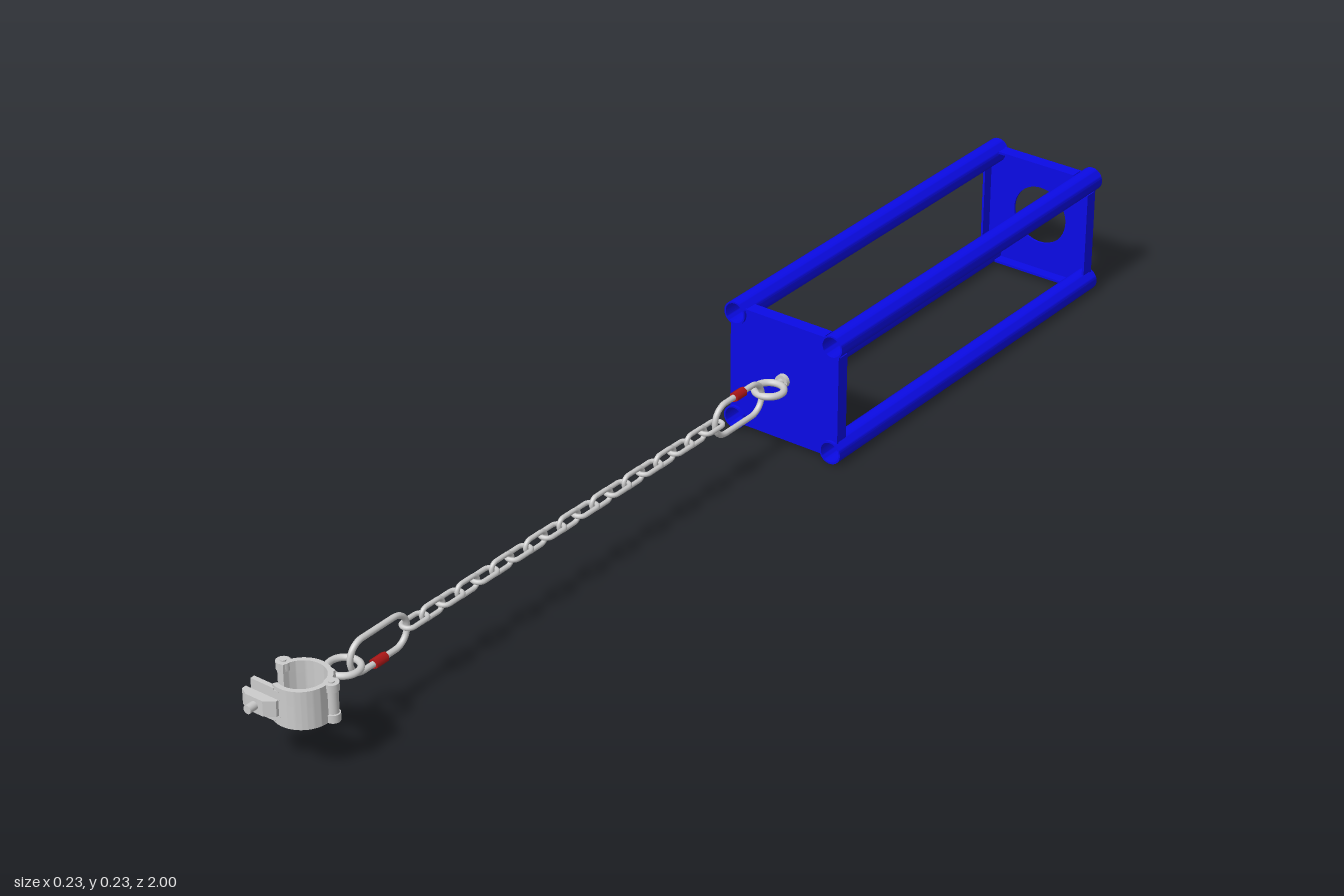
import * as THREE from 'three';
import { toCreasedNormals } from 'three/addons/utils/BufferGeometryUtils.js';

const CY = 0.117; // height of the long axis
const grey = new THREE.MeshStandardMaterial({ color: 0xcccccc });
const blue = new THREE.MeshStandardMaterial({ color: 0x0a0ae6 });
const red = new THREE.MeshStandardMaterial({ color: 0xb01818 });

// Closed oval path in the x-y plane, long along x
class Oval extends THREE.Curve {
  constructor(half, r) { super(); this.a = half; this.r = r; }
  getPoint(t, target = new THREE.Vector3()) {
    const { a, r } = this, arc = Math.PI * r, total = 4 * a + 2 * arc;
    let s = (t % 1) * total;
    const sign = s < total / 2 ? 1 : -1;
    if (sign < 0) s -= total / 2;
    if (s < 2 * a) return target.set(sign * (s - a), -sign * r, 0);
    const w = (s - 2 * a) / r - Math.PI / 2;
    return target.set(sign * (a + r * Math.cos(w)), sign * r * Math.sin(w), 0);
  }
}

function add(parent, name, geometry, material, x = 0, y = 0, z = 0) {
  const mesh = new THREE.Mesh(geometry, material);
  mesh.name = name;
  mesh.position.set(x, y, z);
  parent.add(mesh);
  return mesh;
}

function extrude(shape, depth, curveSegments = 24) {
  const g = new THREE.ExtrudeGeometry(shape, { depth, curveSegments, bevelEnabled: false });
  return toCreasedNormals(g, 0.6);
}

// Shape drawn in x-z, extruded along y and centred on y = 0
function upright(shape, height) {
  return extrude(shape, height).rotateX(Math.PI / 2).translate(0, height / 2, 0);
}

const rodZ = (r, length, sides = 20) => new THREE.CylinderGeometry(r, r, length, sides).rotateX(Math.PI / 2);

// Oval wire link, long along z, standing in the y-z plane
function linkGeometry(length, width, wire, steps) {
  const r = width / 2 - wire;
  return new THREE.TubeGeometry(new Oval(length / 2 - wire - r, r), steps, wire, 10, true).rotateY(Math.PI / 2);
}

// Folded end plate, its flanges pointing along dir
function endPlate(name, z, dir, holeRadius) {
  const group = new THREE.Group();
  group.name = name;
  group.position.set(0, CY, z);
  const h = 0.1075, c = 0.0965, r = 0.0203, t = 0.004, depth = 0.024;
  const d = h - c, e = Math.sqrt(r * r - d * d);
  const shape = new THREE.Shape();
  for (let k = 0; k < 4; k++) {
    const q = k * Math.PI / 2, m = q + Math.PI / 4, R = c * Math.SQRT2;
    shape.absarc(R * Math.cos(m), R * Math.sin(m), r, q + Math.atan2(-e, d), q + Math.atan2(d, -e), true);
  }
  shape.closePath();
  if (holeRadius) {
    const hole = new THREE.Path();
    hole.absarc(0, 0, holeRadius, 0, Math.PI * 2, true);
    shape.holes.push(hole);
  }
  add(group, 'plate', extrude(shape, t), blue, 0, 0, dir > 0 ? 0 : -t);
  for (let k = 0; k < 4; k++) {
    const g = new THREE.BoxGeometry(0.154, t, depth).translate(0, h - t / 2, dir * depth / 2);
    add(group, 'flange', g.rotateZ(k * Math.PI / 2), blue);
  }
  return group;
}

// Oval connector with a threaded sleeve on one long side
function quickLink(name, z, side) {
  const group = new THREE.Group();
  group.name = name;
  group.position.set(0, CY + 0.003, z);
  add(group, 'wire', linkGeometry(0.135, 0.066, 0.005, 80), grey);
  add(group, 'sleeve', rodZ(0.0085, 0.026, 6), red, 0, side * 0.028, 0);
  return group;
}

function frame() {
  const group = new THREE.Group();
  group.name = 'frame';
  const ring = new THREE.Shape().absarc(0, 0, 0.0205, 0, Math.PI * 2);
  ring.holes.push(new THREE.Path().absarc(0, 0, 0.0175, 0, Math.PI * 2, true));
  const tube = extrude(ring, 0.77);
  for (const sx of [-1, 1]) for (const sy of [-1, 1])
    add(group, 'cornerTube', tube, blue, sx * 0.0965, CY + sy * 0.0965, -1);
  group.add(endPlate('frontPlate', -0.235, -1, 0));
  group.add(endPlate('backPlate', -0.995, 1, 0.053));
  return group;
}

function eyeBolt() {
  const group = new THREE.Group();
  group.name = 'eyeBolt';
  group.position.y = CY + 0.003;
  const eye = new THREE.TorusGeometry(0.024, 0.006, 12, 36).rotateX(Math.PI / 2);
  add(group, 'eye', eye, grey, 0, 0, -0.195);
  add(group, 'shank', rodZ(0.006, 0.06), grey, 0, 0, -0.25);
  add(group, 'collar', rodZ(0.012, 0.008), grey, 0, 0, -0.231);
  add(group, 'nut', rodZ(0.012, 0.01, 6), grey, 0, 0, -0.244);
  return group;
}

function chain() {
  const group = new THREE.Group();
  group.name = 'chain';
  const g = linkGeometry(0.0555, 0.03, 0.004, 40);
  for (let i = 0; i < 19; i++) {
    const link = add(group, 'chainLink', g, grey, 0, CY + 0.003, -0.04 + i * 0.0399);
    if (i % 2 === 0) link.rotation.z = Math.PI / 2;
  }
  return group;
}

function pipeClamp() {
  const group = new THREE.Group();
  group.name = 'pipeClamp';
  group.position.set(0, CY + 0.003, 0.921);
  const H = 0.064, rad = Math.PI / 180;
  const cShape = (from, to, inner, outer) => new THREE.Shape()
    .absarc(0, 0, outer, from * rad, to * rad, false)
    .absarc(0, 0, inner, to * rad, from * rad, true);
  // Saddle at the back, hinged flap round the right and front
  add(group, 'saddle', upright(cShape(182, 345, 0.037, 0.045), H), grey);
  add(group, 'flap', upright(cShape(-14, 112, 0.038, 0.046), H), grey);
  add(group, 'saddlePad', new THREE.BoxGeometry(0.04, 0.044, 0.01), grey, 0, 0, -0.044);
  // Hinge knuckles and pins
  for (const s of [-1, 1]) {
    for (const y of [-0.0255, 0, 0.0255]) {
      const r = y ? 0.0115 : 0.0095;
      add(group, 'knuckle', new THREE.CylinderGeometry(r, r, y ? 0.013 : 0.036, 20), grey, s * 0.046, y, -0.012);
    }
    add(group, 'hingePin', new THREE.CylinderGeometry(0.005, 0.005, H + 0.004, 12), grey, s * 0.046, 0, -0.012);
  }
  // Forked lip of the flap
  for (const s of [-1, 1])
    add(group, 'lip', new THREE.BoxGeometry(0.044, 0.02, 0.008), grey, -0.034, s * 0.018, 0.042);
  add(group, 'lipRoot', new THREE.BoxGeometry(0.02, 0.05, 0.008), grey, -0.012, 0, 0.042);
  // Closing bolt and its clamping block
  const block = new THREE.Shape();
  block.moveTo(-0.064, 0.048).lineTo(-0.002, 0.048).lineTo(-0.002, 0.053)
    .lineTo(-0.018, 0.064).lineTo(-0.05, 0.064).lineTo(-0.064, 0.056);
  add(group, 'clampingBlock', upright(block, 0.026), grey);
  add(group, 'closingBolt', rodZ(0.007, 0.045), grey, -0.034, 0, 0.0565);
  // Eye at the back
  const eye = new THREE.TorusGeometry(0.025, 0.0055, 12, 36).rotateX(Math.PI / 2);
  add(group, 'eye', eye, grey, 0, 0, -0.088);
  add(group, 'eyeStem', rodZ(0.009, 0.02), grey, 0, 0, -0.055);
  return group;
}

export function createModel() {
  const model = new THREE.Group();
  model.name = 'chainedFrame';
  model.add(
    frame(), eyeBolt(),
    quickLink('frameQuickLink', -0.1125, 1), chain(),
    quickLink('clampQuickLink', 0.7575, -1), pipeClamp(),
  );
  return model;
}
